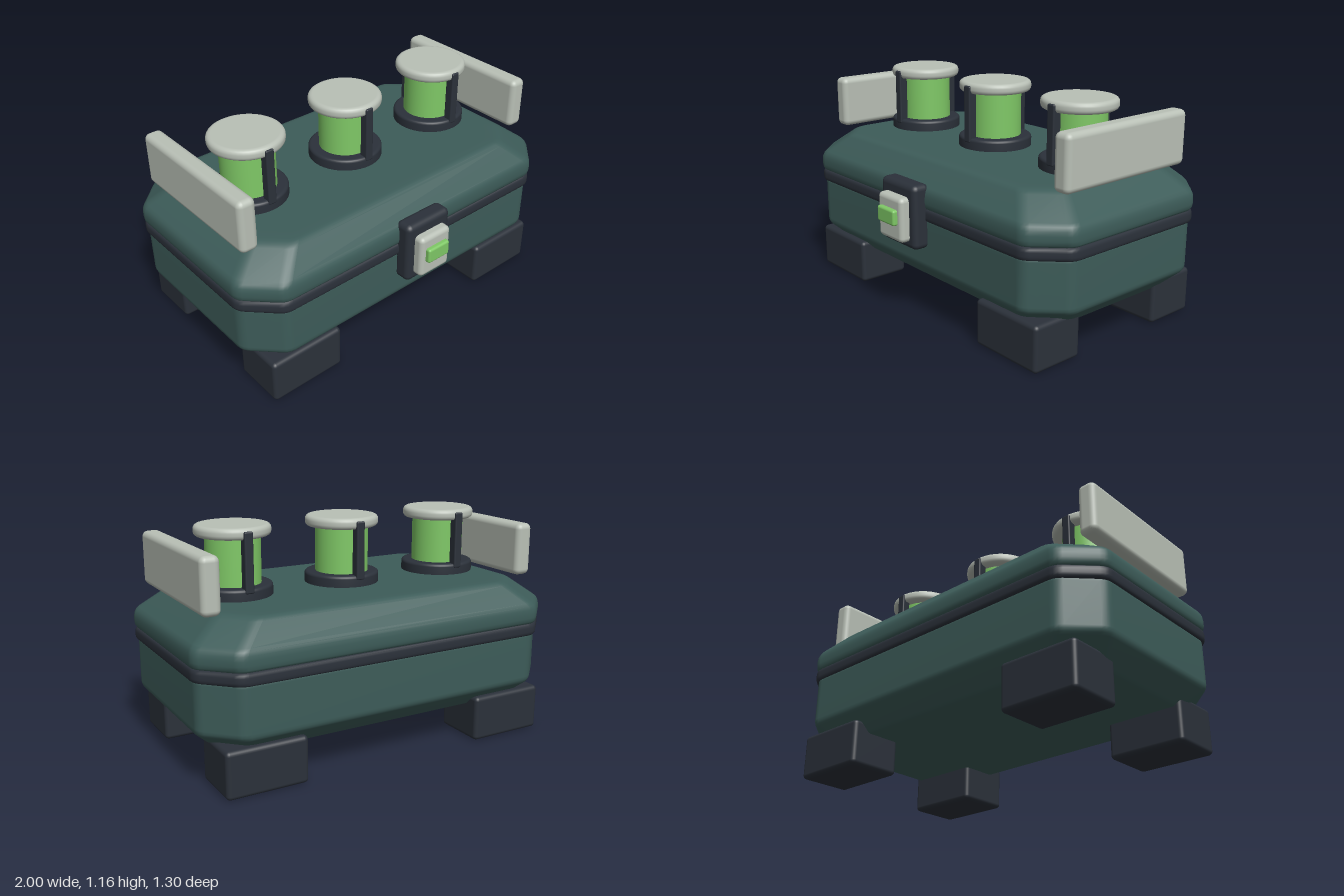
import * as THREE from 'three';
import { RoundedBoxGeometry } from 'three/addons/geometries/RoundedBoxGeometry.js';

const MID_Z = -0.07; // centre line of the case in depth

const mat = (name, color) => {
  const m = new THREE.MeshStandardMaterial({ color });
  m.name = name;
  return m;
};

// Replaces each corner of a path by a short curve.
function roundPath(points, r, closed) {
  const n = points.length, out = [];
  points.forEach((p, i) => {
    if (!closed && (i === 0 || i === n - 1)) return out.push(p.clone());
    const ends = [points[(i + n - 1) % n], points[(i + 1) % n]].map((q) =>
      p.clone().lerp(q, Math.min(r / p.distanceTo(q), 0.45)));
    out.push(...new THREE.QuadraticBezierCurve3(ends[0], p, ends[1]).getPoints(3));
  });
  return out;
}

// Octagonal outline with softened corners, in the xz plane.
function octagon(hx, hz, y, cut) {
  const a = hx - cut, b = hz - cut;
  const pts = [[hx, -b], [hx, b], [a, hz], [-a, hz], [-hx, b], [-hx, -b], [-a, -hz], [a, -hz]];
  return roundPath(pts.map(([x, z]) => new THREE.Vector3(x, y, z)), 0.035, true);
}

// Closed shell from [half width, half depth, height] sections, bottom to top.
function shell(profile, soft, cut = 0.165) {
  const path = roundPath(profile.map((p) => new THREE.Vector3(...p)), soft, false);
  const rings = path.map((p) => octagon(p.x, p.y, p.z, cut * p.x));
  const n = rings[0].length, pos = [], idx = [];
  rings.flat().forEach((v) => pos.push(v.x, v.y, v.z));
  for (let i = 0; i < rings.length - 1; i++) {
    for (let j = 0; j < n; j++) {
      const a = i * n + j, b = i * n + (j + 1) % n;
      idx.push(a, a + n, b, b, a + n, b + n);
    }
  }
  const low = rings.length * n, top = (rings.length - 1) * n;
  pos.push(0, path[0].z, 0, 0, path[path.length - 1].z, 0);
  for (let j = 0; j < n; j++) {
    const k = (j + 1) % n;
    idx.push(low, j, k, low + 1, top + k, top + j);
  }
  const g = new THREE.BufferGeometry();
  g.setAttribute('position', new THREE.Float32BufferAttribute(pos, 3));
  g.setIndex(idx);
  g.computeVertexNormals();
  return g;
}

// Rounded box given by its limits on each axis.
function block([x0, x1], [y0, y1], [z0, z1], r) {
  return new RoundedBoxGeometry(x1 - x0, y1 - y0, z1 - z0, 3, r)
    .translate((x0 + x1) / 2, (y0 + y1) / 2, (z0 + z1) / 2);
}

// Disc with a rounded rim.
function disc(radius, y0, y1, r) {
  const pts = [new THREE.Vector2(0, y0), new THREE.Vector2(radius - r - 0.004, y0)];
  for (const [cy, start] of [[y0 + r, -Math.PI / 2], [y1 - r, 0]]) {
    for (let i = 0; i <= 4; i++) {
      const a = start + (i * Math.PI) / 8;
      pts.push(new THREE.Vector2(radius - r + r * Math.cos(a), cy + r * Math.sin(a)));
    }
  }
  pts.push(new THREE.Vector2(radius - r - 0.004, y1), new THREE.Vector2(0, y1));
  return new THREE.LatheGeometry(pts, 48);
}

export function createModel() {
  const model = new THREE.Group();
  model.name = 'case';
  const teal = mat('teal', 0x3d5c59);
  const dark = mat('darkSlate', 0x2b313a);
  const grey = mat('paleGrey', 0xb9c0b6);
  const green = mat('green', 0x7fc866);

  const add = (parent, name, geometry, material, x = 0, z = 0) => {
    const mesh = new THREE.Mesh(geometry, material);
    mesh.name = name;
    mesh.position.set(x, 0, z);
    parent.add(mesh);
    return mesh;
  };

  // Case: lower tub, seam band and lid
  add(model, 'tub', shell([
    [0.85, 0.435, 0.18], [0.875, 0.46, 0.18], [0.985, 0.567, 0.285], [0.985, 0.567, 0.55], [0.96, 0.54, 0.55],
  ], 0.025), teal, 0, MID_Z);
  add(model, 'seamBand', shell([
    [0.95, 0.53, 0.535], [0.998, 0.578, 0.535], [0.998, 0.578, 0.6], [0.95, 0.53, 0.6],
  ], 0.022), dark, 0, MID_Z);
  add(model, 'lid', shell([
    [0.95, 0.53, 0.597], [1, 0.58, 0.597], [1, 0.58, 0.69], [0.835, 0.462, 0.815], [0.77, 0.4, 0.815],
  ], 0.035), teal, 0, MID_Z);

  // Feet and side handles
  for (const s of [-1, 1]) {
    for (const t of [-1, 1]) {
      add(model, 'foot', block([-0.208, 0.208], [0, 0.237], [-0.143, 0.143], 0.022), dark,
        s * 0.698, MID_Z + t * 0.407);
    }
    add(model, 'handle', block([-0.048, 0.048], [0.82, 1.095], [-0.407, 0.407], 0.03), grey, s * 0.887, MID_Z);
  }

  // Front clasp
  const clasp = new THREE.Group();
  clasp.name = 'clasp';
  model.add(clasp);
  add(clasp, 'claspPlate', block([-0.142, 0.142], [0.393, 0.727], [0.475, 0.575], 0.03), dark);
  add(clasp, 'claspLatch', block([-0.1, 0.1], [0.432, 0.664], [0.55, 0.625], 0.025), grey);
  add(clasp, 'claspButton', block([-0.07, 0.07], [0.522, 0.603], [0.6, 0.65], 0.012), green);

  // Three canisters on the lid
  for (const x of [-0.61, 0, 0.61]) {
    const canister = new THREE.Group();
    canister.name = 'canister';
    canister.position.set(x, 0, MID_Z);
    model.add(canister);
    add(canister, 'canisterBase', disc(0.193, 0.8, 0.872, 0.015), dark);
    add(canister, 'canisterTube', new THREE.CylinderGeometry(0.137, 0.137, 0.26, 48).translate(0, 0.99, 0), green);
    add(canister, 'canisterCap', disc(0.189, 1.105, 1.162, 0.022), grey);
    for (const s of [-1, 1]) {
      add(canister, 'canisterStrut', block([-0.023, 0.023], [0.85, 1.147], [-0.025, 0.025], 0.008), dark, 0, s * 0.172);
    }
  }
  return model;
}
